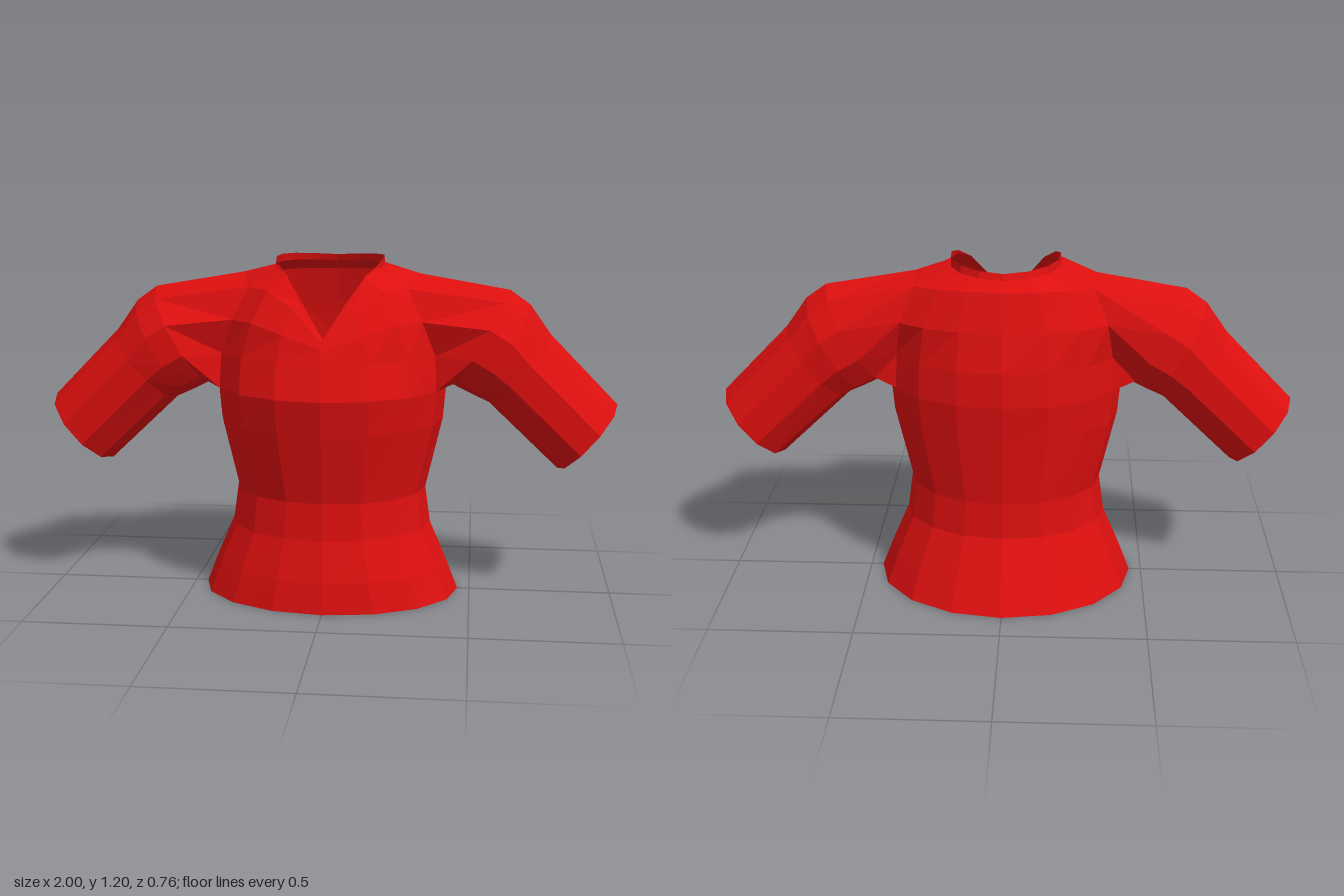
import * as THREE from 'three';

const COLS = 16;

// Faceted skin over rows of points; skip(r, c) leaves a quad open
function skin(rows, closed, flip, skip = () => false) {
  const n = rows[0].length, pos = [];
  const tri = (a, b, c) => (flip ? [a, c, b] : [a, b, c]).forEach(p => pos.push(...p));
  for (let r = 0; r < rows.length - 1; r++) {
    for (let c = 0; c < (closed ? n : n - 1); c++) {
      if (skip(r, c)) continue;
      const d = (c + 1) % n;
      tri(rows[r][c], rows[r][d], rows[r + 1][d]);
      tri(rows[r][c], rows[r + 1][d], rows[r + 1][c]);
    }
  }
  const g = new THREE.BufferGeometry();
  g.setAttribute('position', new THREE.Float32BufferAttribute(pos, 3));
  g.computeVertexNormals();
  return g;
}

// Half a ring, front centre to back centre, mirrored into a full ring
const mirrorRing = half => Array.from({ length: COLS }, (_, c) => {
  const [x, y, z] = half[c <= 8 ? c : COLS - c];
  return [c <= 8 ? x : -x, y, z];
});

// Elliptical half ring with separate front and back depths
const bodyHalf = ([y, w, front, back]) => Array.from({ length: 9 }, (_, h) => {
  const a = h * Math.PI / 8, cz = Math.cos(a);
  return [w * Math.sin(a), y, cz * (cz > 0 ? front : back)];
});

export function createModel() {
  const red = new THREE.MeshStandardMaterial({ color: 0xdd0f0f, flatShading: true, side: THREE.DoubleSide });
  red.name = 'red';
  const group = new THREE.Group();
  group.name = 'shirt';
  const add = (name, geometry) => {
    const mesh = new THREE.Mesh(geometry, red);
    mesh.name = name;
    group.add(mesh);
  };

  // Body from hem to chest: height, half width, front depth, back depth
  const halves = [
    [0, 0.457, 0.335, 0.38],
    [0.11, 0.415, 0.325, 0.33],
    [0.25, 0.355, 0.295, 0.27],
    [0.38, 0.337, 0.29, 0.265],
    [0.63, 0.395, 0.355, 0.29],
    [0.75, 0.405, 0.383, 0.305],
    [0.87, 0.4, 0.345, 0.30],
  ].map(bodyHalf);

  // Upper chest, yoke and neckline, front centre to back centre
  halves.push(
    [[0, 0.915, 0.328], [0.135, 0.96, 0.3], [0.245, 0.99, 0.25], [0.325, 0.99, 0.165], [0.37, 1, 0],
      [0.35, 1, -0.165], [0.265, 1, -0.22], [0.145, 1, -0.26], [0, 1, -0.272]],
    [[0, 0.94, 0.315], [0.1, 1.04, 0.262], [0.195, 1.095, 0.21], [0.272, 1.10, 0.135], [0.31, 1.138, 0],
      [0.3, 1.12, -0.14], [0.22, 1.125, -0.19], [0.12, 1.13, -0.228], [0, 1.13, -0.24]],
    [[0, 0.95, 0.30], [0.07, 1.055, 0.245], [0.13, 1.14, 0.182], [0.172, 1.165, 0.125], [0.19, 1.17, 0.035],
      [0.182, 1.17, -0.065], [0.145, 1.168, -0.14], [0.08, 1.165, -0.19], [0, 1.162, -0.208]],
  );
  const rows = halves.map(mirrorRing);
  const sideCol = c => [3, 4, 11, 12].includes(c);
  add('torso', skin(rows, true, false, (r, c) => r >= 5 && r < 8 && sideCol(c)));

  // Low collar band round the back of the neck
  const neck = halves[9], lift = [0, 0, 0, 0.012, 0.026, 0.026, 0.025, 0.023, 0.022];
  const rim = neck.map(([x, y, z], h) => [x * 0.985, y + lift[h], z * 0.96]);
  add('collar', skin([neck, rim].map(half => mirrorRing(half).slice(2, 15)), false, false));

  // Sleeve rings: top point, bottom point, front depth, back depth
  const armhole = [[5, 4], [5, 3], [6, 3], [7, 3], [8, 3], [8, 4], [8, 5], [7, 5], [6, 5], [5, 5]]
    .map(([r, h]) => halves[r][h]);
  const rings = [
    [0.62, 1.085, 0.43, 0.75, 0.205, 0.18],
    [0.69, 1.035, 0.5, 0.715, 0.205, 0.18],
    [0.765, 0.93, 0.555, 0.69, 0.19, 0.165],
    [1, 0.69, 0.8, 0.458, 0.17, 0.147],
  ].map(([tx, ty, bx, by, front, back]) => armhole.map((_, i) => {
    const a = i * Math.PI / 5, k = (1 + Math.cos(a)) / 2, s = Math.sin(a);
    return [tx + (bx - tx) * k, ty + (by - ty) * k, s * (s > 0 ? front : back)];
  }));
  for (const side of [1, -1]) {
    const sleeve = [armhole, ...rings].map(ring => ring.map(([x, y, z]) => [side * x, y, z]));
    add(side > 0 ? 'leftSleeve' : 'rightSleeve', skin(sleeve, true, side > 0));
  }
  return group;
}
